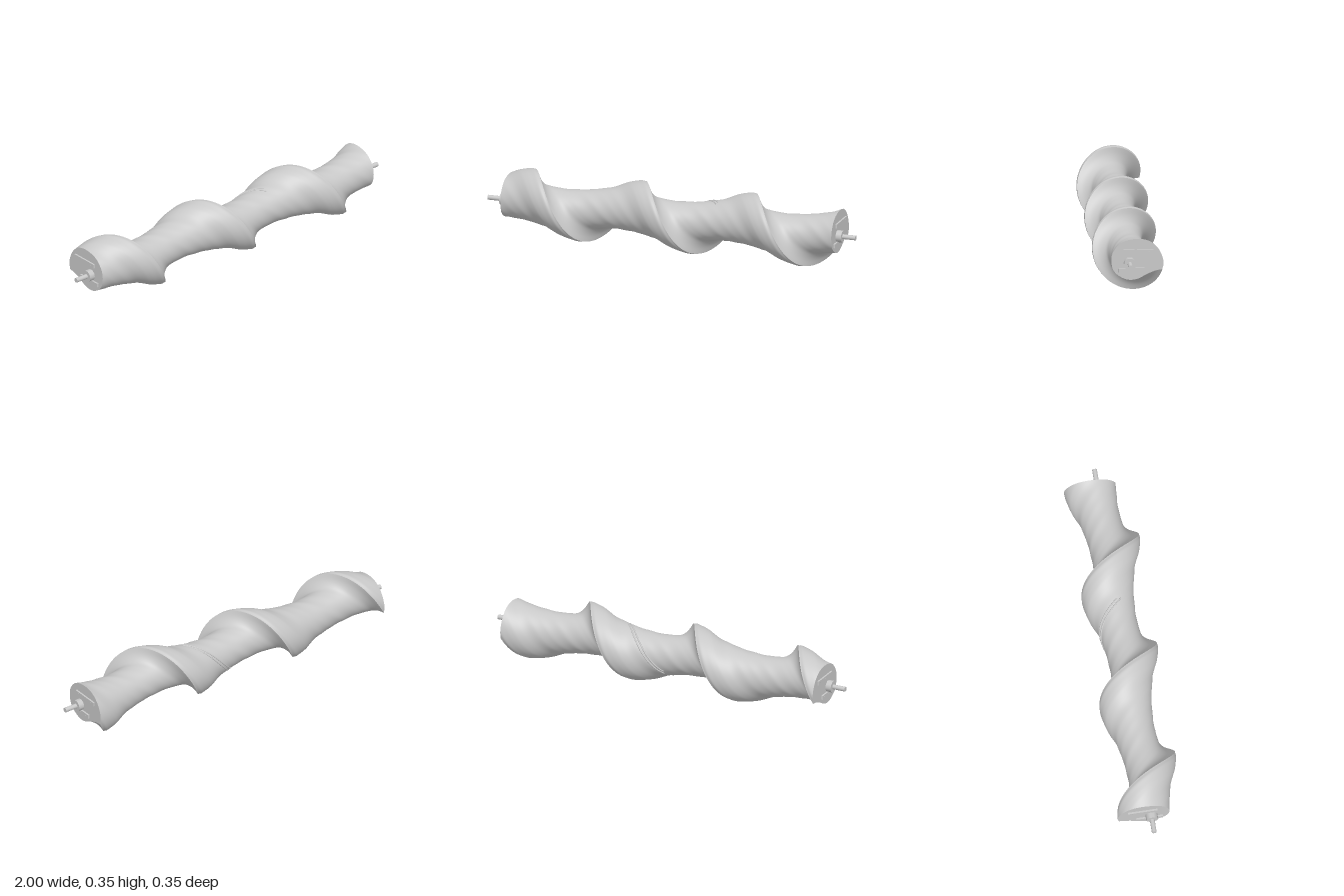
import * as THREE from 'three';

const HALF = 0.9, PITCH = 0.6, AXIS_Y = 0.175;

// Cross-section as [back, up] offsets from the axis, from sharp lip round to sharp lip
const KNOTS = [
  [0.168, -0.036], [0.174, 0.004], [0.160, 0.052], [0.136, 0.088], [0.100, 0.115], [0.041, 0.127],
  [-0.043, 0.106], [-0.087, 0.053], [-0.094, 0.004], [-0.080, -0.044], [-0.041, -0.077],
  [0, -0.090], [0.043, -0.084], [0.088, -0.061], [0.132, -0.043], [0.168, -0.036],
];
const section = new THREE.CatmullRomCurve3(KNOTS.map(([b, u]) => new THREE.Vector3(b, u, 0)), false, 'centripetal')
  .getPoints(75);

// Turn a [back, up] point by the twist at x
function twist(b, u, x) {
  const t = (2 * Math.PI * (x - HALF)) / PITCH;
  const c = Math.cos(t), s = Math.sin(t);
  return new THREE.Vector3(x, b * s + u * c, -(b * c - u * s));
}

function screwGeometry() {
  const rows = 180, n = section.length, pos = [], index = [];
  for (let j = 0; j <= rows; j++) {
    const x = -HALF + (2 * HALF * j) / rows;
    for (const p of section) pos.push(...twist(p.x, p.y, x).toArray());
  }
  for (let j = 0; j < rows; j++) {
    for (let i = 0; i < n - 1; i++) {
      const a = j * n + i, b = a + 1, c = a + n, d = c + 1;
      index.push(a, b, c, b, d, c);
    }
  }
  const g = new THREE.BufferGeometry();
  g.setAttribute('position', new THREE.Float32BufferAttribute(pos, 3));
  g.setIndex(index);
  g.computeVertexNormals();
  return g;
}

export function createModel() {
  const metal = new THREE.MeshStandardMaterial({ color: 0xc8c8c8 });
  metal.name = 'light grey metal';
  const model = new THREE.Group();
  model.name = 'screwRotor';
  const body = new THREE.Group();
  body.name = 'rotor';
  body.position.y = AXIS_Y;
  model.add(body);

  const add = (name, geometry, x = 0, y = 0, z = 0) => {
    const mesh = new THREE.Mesh(geometry, metal);
    mesh.name = name;
    mesh.position.set(x, y, z);
    body.add(mesh);
    return mesh;
  };

  add('screwBody', screwGeometry());

  // Narrow raised seams that follow the helix over the back
  for (const [angle, r] of [[120, 0.111], [131, 0.107]]) {
    const a = THREE.MathUtils.degToRad(angle), pts = [];
    for (let i = 0; i <= 16; i++) {
      pts.push(twist(r * Math.cos(a), r * Math.sin(a), 0.01 + 0.015 * i));
    }
    add('seam', new THREE.TubeGeometry(new THREE.CatmullRomCurve3(pts), 48, 0.004, 6));
  }

  // Both ends: cap, hub, shaft and two riveted bars
  const bars = [
    { y: 0.061, z: -0.045, length: 0.153 },
    { y: -0.037, z: -0.009, length: 0.136 },
  ];
  for (const side of [1, -1]) {
    const outline = new THREE.Shape(section.slice(0, -1).map((p) => new THREE.Vector2(side * p.x, p.y)));
    add('endCap', new THREE.ShapeGeometry(outline).rotateY((side * Math.PI) / 2), side * HALF);
    const hub = new THREE.CylinderGeometry(0.031, 0.031, 0.03, 10).rotateZ(Math.PI / 2);
    add('hub', hub, side * 0.915);
    add('shaft', new THREE.CylinderGeometry(0.0125, 0.0125, 0.1, 16).rotateZ(Math.PI / 2), side * 0.95);
    for (const { y, z, length } of bars) {
      add('bar', new THREE.BoxGeometry(0.01, 0.021, length), side * (HALF + 0.004), y, z);
      for (const k of [-0.35, 0, 0.35]) {
        const rivet = new THREE.CylinderGeometry(0.002, 0.002, 0.002, 8).rotateZ(Math.PI / 2);
        add('rivet', rivet, side * (HALF + 0.0095), y, z + k * length);
      }
    }
  }
  return model;
}
